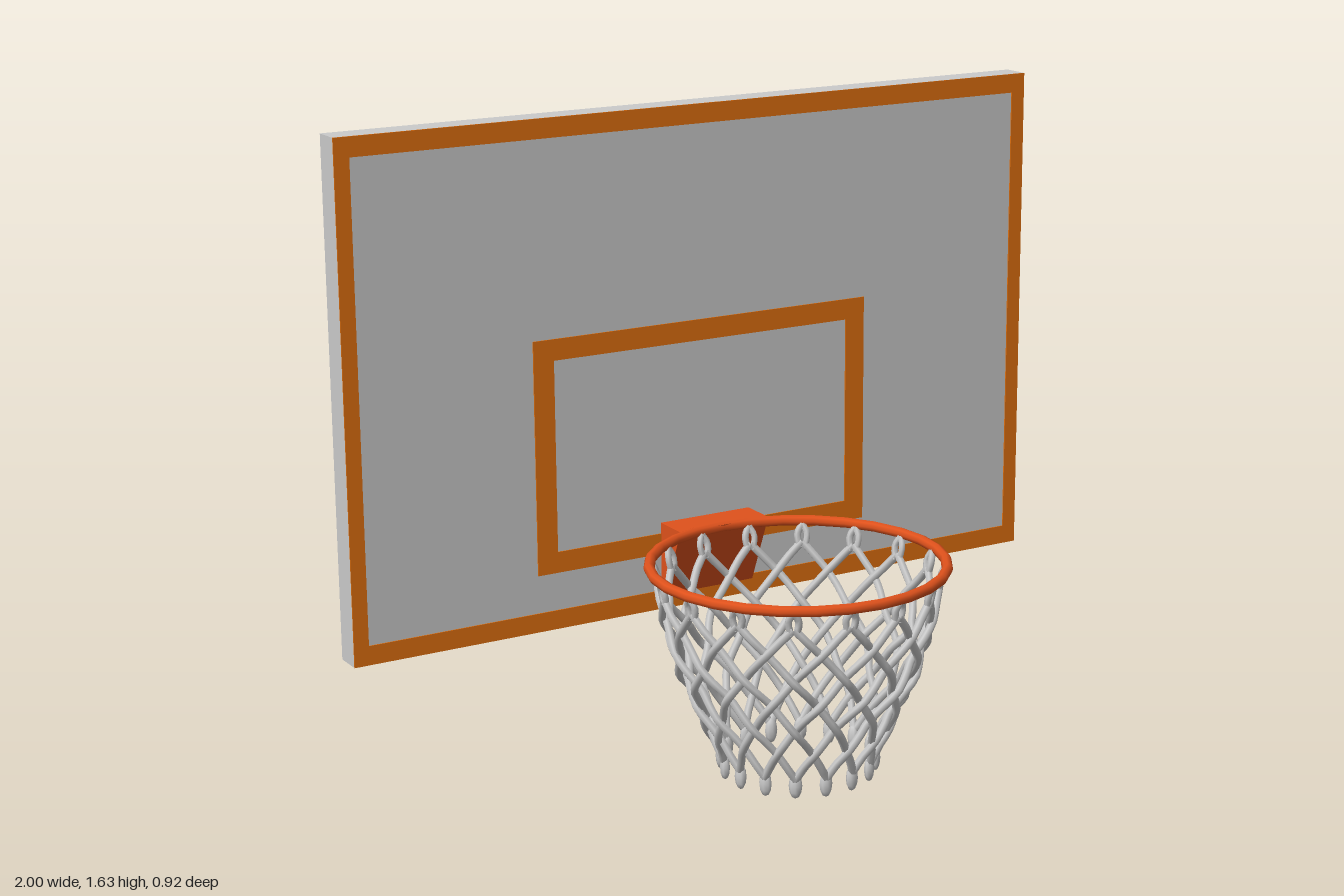
import * as THREE from 'three';

const grey = new THREE.MeshStandardMaterial({ color: 0xcccccc });
const paint = new THREE.MeshStandardMaterial({ color: 0xe07010 });
const steel = new THREE.MeshStandardMaterial({ color: 0xe0521c });

const RIM_Z = 0.073, RIM_Y = 0.546, RIM_R = 0.371;
const COUNT = 16, STEP = (Math.PI * 2) / COUNT;

function add(parent, name, geometry, material, x = 0, y = 0, z = 0) {
  const mesh = new THREE.Mesh(geometry, material);
  mesh.name = name;
  mesh.position.set(x, y, z);
  parent.add(mesh);
  return mesh;
}

// Flat rectangular frame with a rectangular hole
function frame(x, y0, y1, bx, by) {
  const rect = (w, a, b) => [[-w, a], [w, a], [w, b], [-w, b]].map(p => new THREE.Vector2(...p));
  const shape = new THREE.Shape(rect(x, y0, y1));
  shape.holes.push(new THREE.Path(rect(x - bx, y0 + by, y1 - by).reverse()));
  return new THREE.ExtrudeGeometry(shape, { depth: 0.004, bevelEnabled: false });
}

// Net radius by height
const PROFILE = [[0, 0.19], [0.06, 0.2], [0.15, 0.24], [0.3, 0.303], [0.44, 0.342], [0.56, 0.362]];
function netRadius(y) {
  let i = 0;
  while (i < PROFILE.length - 2 && y > PROFILE[i + 1][0]) i++;
  const [[y0, r0], [y1, r1]] = [PROFILE[i], PROFILE[i + 1]];
  return r0 + ((r1 - r0) * (y - y0)) / (y1 - y0);
}
function netPoint(angle, y, offset = 0) {
  const r = netRadius(y) + offset;
  return new THREE.Vector3(Math.sin(angle) * r, y, Math.cos(angle) * r);
}
const cord = (points, radius, segments) =>
  new THREE.TubeGeometry(new THREE.CatmullRomCurve3(points), segments, radius, 6);

function createNet() {
  const net = new THREE.Group();
  net.name = 'net';
  net.position.z = RIM_Z;
  const top = 0.495, bottom = 0.05, turns = 3;

  for (let i = 0; i < COUNT; i++) {
    const a = (i + 0.5) * STEP;

    // Hanging loop below the rim
    for (const s of [-1, 1]) {
      add(net, 'hangingLoop', cord([
        netPoint(a, 0.54, 0.004), netPoint(a + s * 0.035, 0.515), netPoint(a + s * 0.02, 0.48),
      ], 0.009, 6), grey);
    }

    // Two crossing strands, woven over and under each other
    for (const s of [-1, 1]) {
      const points = [];
      for (let k = 0; k <= 12; k++) {
        const t = k / 12;
        const weave = s * 0.009 * Math.cos(t * turns * 2 * Math.PI) * Math.sin(t * Math.PI);
        points.push(netPoint(a + s * t * turns * STEP, top + (bottom - top) * t, weave));
      }
      add(net, 'netStrand', cord(points, 0.0105, 24), grey);
    }

    // Bottom loop where two strands meet
    const knob = add(net, 'bottomLoop', new THREE.SphereGeometry(1, 8, 6), grey);
    knob.position.copy(netPoint(a, 0.034));
    knob.scale.set(0.017, 0.034, 0.013);
    knob.rotation.y = a;
  }
  return net;
}

export function createModel() {
  const model = new THREE.Group();
  model.name = 'basketballHoop';

  // Backboard and its painted lines
  add(model, 'backboard', new THREE.BoxGeometry(2, 1.315, 0.073), grey, 0, 0.9775, -0.4235);
  add(model, 'borderLine', frame(1, 0.32, 1.635, 0.04, 0.05), paint, 0, 0, -0.388);
  add(model, 'targetSquare', frame(0.49, 0.47, 1.08, 0.057, 0.055), paint, 0, 0, -0.388);

  // Wedge bracket, side profile extruded across x
  const side = new THREE.Shape([[0.285, 0.554], [0.367, 0.363], [0.386, 0.363], [0.386, 0.554]]
    .map(p => new THREE.Vector2(...p)));
  const wedge = new THREE.ExtrudeGeometry(side, { depth: 0.264, bevelEnabled: false });
  add(model, 'bracket', wedge, steel, -0.132).rotation.y = Math.PI / 2;

  // Rim
  const rim = add(model, 'rim', new THREE.TorusGeometry(RIM_R, 0.014, 8, 28), steel, 0, RIM_Y, RIM_Z);
  rim.rotation.x = Math.PI / 2;

  model.add(createNet());
  return model;
}
